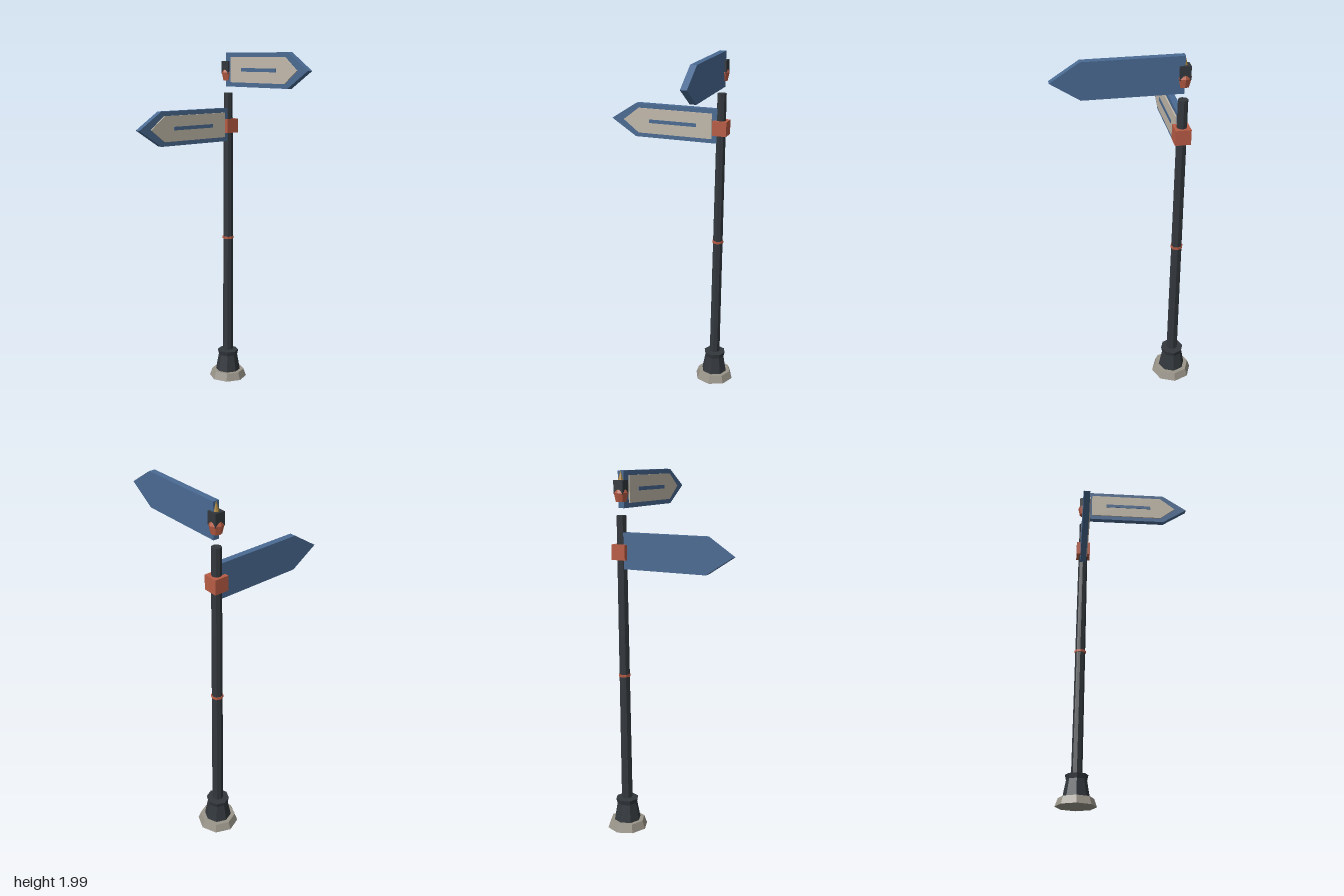
import * as THREE from 'three';

const paint = (color) => new THREE.MeshStandardMaterial({ color, flatShading: true });
const IRON = paint(0x33383d), STONE = paint(0x9a958a), CORAL = paint(0xb85c45);
const BLUE = paint(0x4a6a92), CREAM = paint(0xc2b9aa), GOLD = paint(0xa8823c);

export function createModel() {
  const model = new THREE.Group();
  const post = new THREE.Group();
  post.name = 'signpost';
  post.position.set(-0.267, 0, -0.267);
  model.add(post);

  const add = (name, geometry, material, parent = post) => {
    const mesh = new THREE.Mesh(geometry, material);
    mesh.name = name;
    parent.add(mesh);
    return mesh;
  };
  // Eight-sided tapered section between two heights
  const section = (name, y0, y1, r0, r1, material) =>
    add(name, new THREE.CylinderGeometry(r1, r0, y1 - y0, 8).translate(0, (y0 + y1) / 2, 0), material);
  const box = (name, w, h, d, y, material) =>
    add(name, new THREE.BoxGeometry(w, h, d).translate(0, y, 0), material);

  // Foot and pole
  section('plinth', 0, 0.045, 0.114, 0.098, STONE);
  section('footTaper', 0.045, 0.15, 0.075, 0.056, IRON);
  section('footCollar', 0.145, 0.172, 0.058, 0.064, IRON);
  section('pole', 0.178, 1.76, 0.031, 0.026, IRON);
  section('poleBand', 0.889, 0.902, 0.033, 0.033, CORAL);
  box('clamp', 0.081, 0.081, 0.081, 1.57, CORAL);

  // Cap floating above the pole
  section('capCup', 1.83, 1.875, 0.028, 0.038, CORAL);
  section('capRim', 1.875, 1.89, 0.038, 0.032, CORAL);
  box('capBlock', 0.056, 0.07, 0.056, 1.905, IRON);
  section('finial', 1.875, 1.99, 0.034, 0, GOLD);

  // Pointed plate from x0 to a tip, with its shoulder at x1; dir flips it
  const arrow = (x0, x1, tip, half, depth, z, dir) => {
    const shape = new THREE.Shape(
      [[x0, -half], [x1, -half], [tip, 0], [x1, half], [x0, half]]
        .map(([x, y]) => new THREE.Vector2(x * dir, y)));
    return new THREE.ExtrudeGeometry(shape, { depth, bevelEnabled: false }).translate(0, 0, z);
  };
  const sign = (name, y, dir, angle) => {
    const group = new THREE.Group();
    group.name = name;
    group.position.y = y;
    group.rotation.y = angle;
    add('board', arrow(0, 0.5, 0.647, 0.096, 0.034, -0.017, dir), BLUE, group);
    add('panel', arrow(0.048, 0.482, 0.573, 0.071, 0.008, 0.016, dir), CREAM, group);
    add('stripe', new THREE.BoxGeometry(0.28, 0.02, 0.004).translate(0.278 * dir, 0, 0.0245), BLUE, group);
    post.add(group);
  };
  sign('upperSign', 1.893, 1, 0);
  sign('lowerSign', 1.577, -1, Math.PI / 2);

  return model;
}
